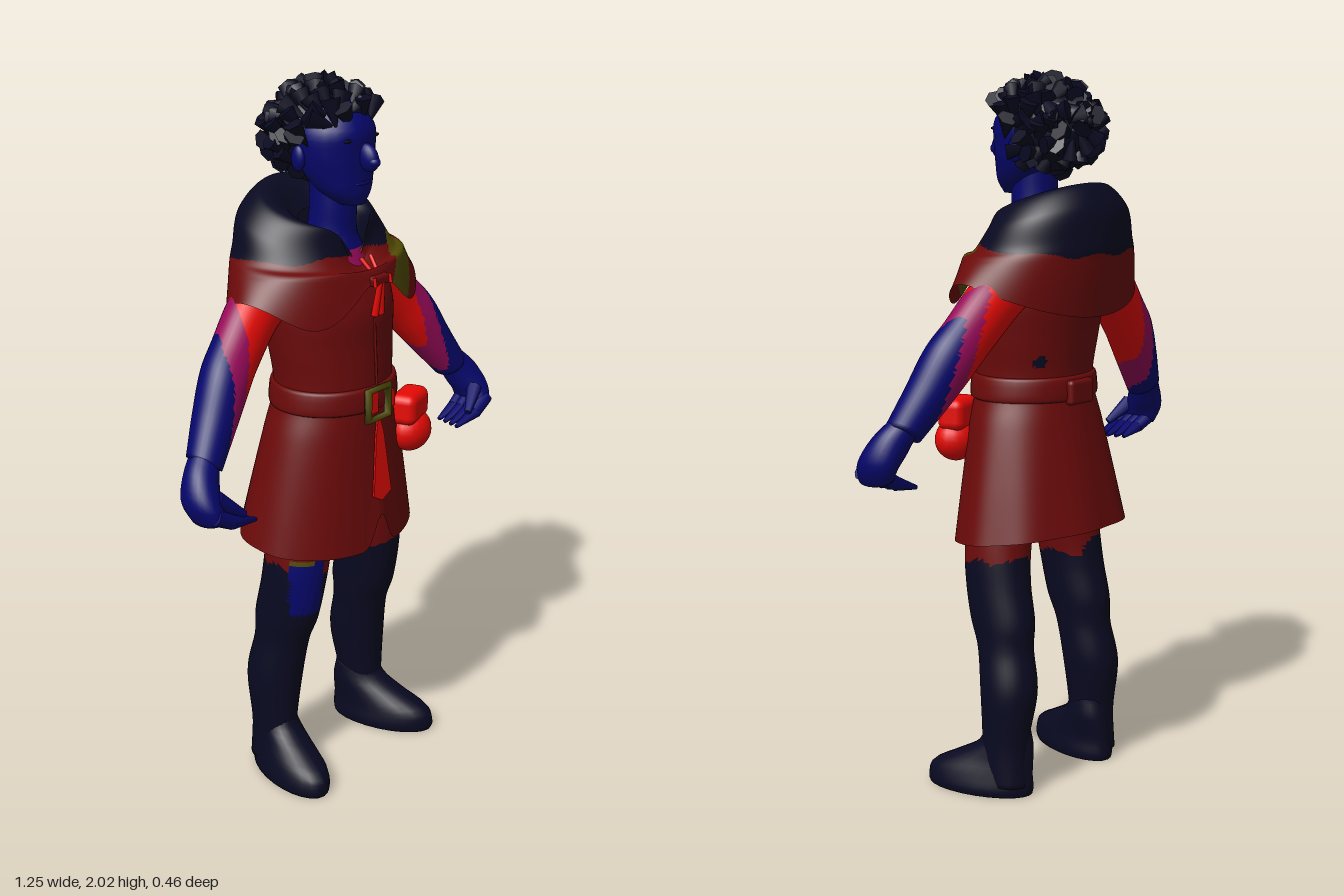
import * as THREE from 'three';
import { mergeGeometries } from 'three/addons/utils/BufferGeometryUtils.js';
import { RoundedBoxGeometry } from 'three/addons/geometries/RoundedBoxGeometry.js';

const mat = (name, color, side = THREE.FrontSide) => {
  const m = new THREE.MeshStandardMaterial({ color, side });
  m.name = name;
  return m;
};

// Lofts rings given as [x, y, z, rx, rz, tilt], listed from the top down.
// side -1 mirrors it; tweak moves points; paint picks a material index per face.
function loft(rings, { seg = 24, rows = 20, side = 1, cap = true, tweak, paint } = {}) {
  const full = rings.map(r => [...r, 0].slice(0, 6));
  const curve = new THREE.CubicInterpolant(full.map((_, i) => i), full.flat(), 6);
  const pts = [], faces = [];
  for (let j = 0; j <= rows; j++) {
    const t = j / rows;
    const [x, y, z, rx, rz, tilt] = Array.from(curve.evaluate(t * (full.length - 1)));
    for (let i = 0; i < seg; i++) {
      const a = i / seg * Math.PI * 2, u = rx * Math.sin(a);
      const p = new THREE.Vector3(x + u * Math.cos(tilt), y + u * Math.sin(tilt), z + rz * Math.cos(a));
      if (tweak) tweak(p, a > Math.PI ? a - 2 * Math.PI : a, t);
      p.x *= side;
      pts.push(p);
    }
  }
  const add = (a, b, c) => faces.push(side > 0 ? [a, b, c] : [a, c, b]);
  for (let j = 0; j < rows; j++) for (let i = 0; i < seg; i++) {
    const k = (i + 1) % seg, a = j * seg + i, b = j * seg + k;
    add(a, a + seg, b);
    add(b, a + seg, b + seg);
  }
  if (cap) for (const row of [0, rows]) {
    const c = new THREE.Vector3(), o = row * seg;
    for (let i = 0; i < seg; i++) c.addScaledVector(pts[o + i], 1 / seg);
    const n = pts.push(c) - 1;
    for (let i = 0; i < seg; i++) {
      const k = (i + 1) % seg;
      row ? add(o + k, o + i, n) : add(o + i, o + k, n);
    }
  }
  const buckets = [];
  for (const f of faces) {
    const c = new THREE.Vector3();
    f.forEach(i => c.addScaledVector(pts[i], 1 / 3));
    (buckets[paint ? paint(c) : 0] ??= []).push(...f);
  }
  const g = new THREE.BufferGeometry().setFromPoints(pts);
  g.setIndex(buckets.flat());
  let start = 0;
  if (paint) buckets.forEach((b, m) => { g.addGroup(start, b.length, m); start += b.length; });
  g.computeVertexNormals();
  return g;
}

// Tapered rod between two points
function rod(p, q, r1, r2) {
  const a = new THREE.Vector3(...p), b = new THREE.Vector3(...q), d = b.clone().sub(a);
  const g = new THREE.CylinderGeometry(r2, r1, d.length(), 8);
  g.applyQuaternion(new THREE.Quaternion().setFromUnitVectors(new THREE.Vector3(0, 1, 0), d.normalize()));
  return g.translate(...a.add(b).multiplyScalar(0.5).toArray());
}

const ball = (x, y, z, sx, sy, sz) => new THREE.SphereGeometry(1, 20, 14).scale(sx, sy, sz).translate(x, y, z);
const bump = (a, c, w) => Math.exp(-(((a - c) / w) ** 2));

export function createModel() {
  const model = new THREE.Group();
  const navy = mat('navy', 0x090921, THREE.DoubleSide), skin = mat('deep blue', 0x06066c);
  const tunic = mat('dark red', 0x6c0a0a, THREE.DoubleSide), red = mat('bright red', 0xee0a04);
  const magenta = mat('magenta', 0x980a5a), olive = mat('olive', 0x524b04, THREE.DoubleSide);
  const part = (name, geometry, material) => {
    const m = new THREE.Mesh(geometry, material);
    m.name = name;
    model.add(m);
    return m;
  };

  // Head
  part('face', loft([[0, 1.96, .02, .06, .07], [0, 1.89, .03, .11, .115], [0, 1.83, .04, .113, .106],
    [0, 1.77, .05, .1, .095], [0, 1.72, .075, .075, .07], [0, 1.685, .095, .035, .042]]), skin);
  part('neck', loft([[0, 1.78, .03, .065, .065], [0, 1.68, .035, .064, .065], [0, 1.6, .03, .068, .07],
    [0, 1.55, .03, .09, .088], [0, 1.49, .04, .1, .1]], { paint: c => c.y < 1.56 ? 1 : 0 }), [skin, magenta]);
  part('nose', ball(0, 0, 0, .021, .04, .032).rotateX(-.5).translate(0, 1.815, .155), skin);
  part('noseTip', ball(0, 1.805, .174, .017, .016, .02), skin);
  part('lips', ball(0, 1.745, .138, .03, .007, .01), skin);
  for (const s of [-1, 1]) {
    part('ear', ball(s * .112, 1.81, .01, .014, .035, .022), skin);
    part('eyebrow', ball(s * .045, 1.863, .133, .026, .006, .006), navy);
  }

  // Curly hair: a cap covered with unruly tufts down to the hairline
  const hair = [ball(0, 1.86, -.03, .122, .118, .115)];
  let seed = 7;
  const rand = () => (seed = (seed * 16807) % 2147483647) / 2147483647;
  for (let i = 0; i < 170; i++) {
    const h = 1 - 2 * (i + .5) / 170, a = i * 2.39996, r = Math.sqrt(1 - h * h);
    const d = new THREE.Vector3(r * Math.sin(a), h, r * Math.cos(a));
    if (h < (d.z > .35 ? .36 : d.z > -.1 ? -.15 : -.9)) continue;
    const tuft = new THREE.ConeGeometry(.03, .085, 6, 3).scale(1, 1, .75);
    tuft.rotateZ((rand() - .5) * 2.6 + Math.PI).rotateX(.3 + rand() * .45);
    tuft.applyQuaternion(new THREE.Quaternion().setFromUnitVectors(new THREE.Vector3(0, 0, 1), d));
    const out = .92 + rand() * .1;
    hair.push(tuft.translate(d.x * .138 * out, 1.868 + d.y * .112 * out, d.z * .142 * out));
  }
  part('hair', mergeGeometries(hair), navy);

  // Folded hood flowing into a shoulder cape, with an olive patch
  const tilt = [.06, .05, .05, .04, .02, .0, 0], drop = [.08, .08, .08, .06, .03, 0, 0];
  part('hoodAndCape', loft([[0, 1.58, .02, .085, .085], [0, 1.65, 0, .115, .12], [0, 1.67, -.03, .165, .145],
    [0, 1.62, -.05, .22, .172], [0, 1.55, -.035, .25, .195], [0, 1.52, -.02, .278, .205], [0, 1.44, 0, .325, .2]], {
    seg: 128, rows: 72, cap: false,
    tweak: (p, a, t) => {
      const k = Math.min(5, Math.floor(t * 6)), f = t * 6 - k, mix = v => v[k] + (v[k + 1] - v[k]) * f;
      p.y -= mix(tilt) * Math.cos(a) + mix(drop) * bump(a, 0, .35);
      const hem = Math.max(0, t * 6 - 5);
      p.y += hem * (.06 * bump(a, 0, .3) - .055 * bump(Math.abs(a), .65, .4) - .08 * Math.max(0, -Math.cos(a)) ** 2
        + .02 * bump(Math.abs(a), 1.5, .4));
    },
    paint: c => {
      const along = (c.x - .06) * .66 + (c.y - 1.39) * .75, across = (c.x - .06) * .75 - (c.y - 1.39) * .66;
      const patch = ((along - .095) / .125) ** 4 + ((across - .008) / .056) ** 4 < 1;
      if (c.z > .02 && c.x > .04 && patch) return 2;
      return c.y > 1.553 + .006 * Math.sin(c.x * 40) - (c.z < 0 ? .1 * -c.z : 0) ? 0 : 1;
    }
  }), [navy, tunic, olive]);
  part('clasp', new RoundedBoxGeometry(.07, .03, .03, 2, .01).translate(0, 1.49, .195), tunic);
  for (const s of [-1, 1]) {
    part('claspTie', rod([s * .005, 1.485, .205], [s * .012 + .005, 1.39, .19], .008, .011), red);
    part('claspCord', rod([s * .032, 1.478, .212], [s * .032, 1.503, .208], .005, .005), red);
    part('shirtLace', rod([s * .008, 1.5, .19], [s * .02, 1.545, .15], .006, .006), red);
  }

  // Tunic with flared skirt, raised at the front slit, with two worn spots
  const spots = [[-.19, .81, .026], [.12, 1.235, .016]];
  part('tunic', loft([[0, 1.54, -.01, .1, .1], [0, 1.49, 0, .185, .14], [0, 1.4, .015, .2, .165], [0, 1.3, .025, .192, .16],
    [0, 1.2, .035, .18, .155], [0, 1.14, .035, .184, .155], [0, 1.05, .03, .215, .165], [0, .9, .02, .252, .185],
    [0, .735, .01, .288, .208]], {
    seg: 120, rows: 72, cap: false,
    tweak: (p, a, t) => {
      const low = Math.max(0, (t - .65) / .35);
      p.y += low * low * (-.025 * Math.cos(a) + .1 * bump(a, 0, .12));
      const fold = 1 + .015 * low * Math.sin(a * 9) * Math.sin(a / 2) ** 2;
      p.x *= fold;
      p.z *= fold;
    },
    paint: c => c.z < 0 && spots.some(([x, y, r]) => Math.hypot(c.x - x, c.y - y) < r) ? 1 : 0
  }), [tunic, navy]);
  const slit = new THREE.Shape([[0, 0], [.018, -.06], [.042, -.24], [0, -.26], [-.034, -.24], [-.014, -.06]]
    .map(p => new THREE.Vector2(...p)).reverse());
  const panel = part('slitPanel', new THREE.ExtrudeGeometry(slit, { depth: .006, bevelEnabled: false }), red);
  panel.position.set(0, 1.11, .197);
  panel.rotation.x = -.06;
  part('frontSeam', rod([0, 1.38, .183], [0, 1.19, .194], .004, .004), tunic);
  part('pelvis', loft([[0, .95, .03, .16, .12], [0, .8, .03, .14, .11], [0, .72, .03, .07, .08]]), tunic);

  // Belt, buckle and pouches
  part('belt', loft([[0, 1.19, .037, .182, .158], [0, 1.18, .037, .19, .166], [0, 1.13, .037, .196, .168],
    [0, 1.12, .037, .188, .16]], { seg: 40, rows: 9 }), tunic);
  const buckle = part('buckle', new THREE.TorusGeometry(.06, .012, 6, 4).rotateZ(Math.PI / 4), olive);
  buckle.position.set(-.015, 1.145, .212);
  part('buckleTongue', new THREE.BoxGeometry(.045, .06, .012).translate(-.038, 1.15, .208), red);
  part('buckleStrap', new THREE.BoxGeometry(.025, .045, .012).translate(.048, 1.14, .204), red);
  part('backLoop', new RoundedBoxGeometry(.1, .07, .03, 2, .012).translate(0, 1.145, -.128), tunic);
  part('pouchFlap', new RoundedBoxGeometry(.13, .09, .08, 3, .025).rotateY(.3).translate(.175, 1.075, .17), red);
  part('pouchBag', ball(.18, 1.0, .172, .068, .062, .056), red);

  for (const side of [-1, 1]) {
    const name = side > 0 ? 'left' : 'right', q = Math.PI / 4;
    // Arm: sleeve, torn edge and forearm
    part(name + 'Arm', loft([[.17, 1.46, -.03, .08, .07, q], [.25, 1.41, -.03, .08, .07, q], [.34, 1.32, -.015, .077, .066, q],
      [.4, 1.255, 0, .076, .068, q], [.46, 1.17, .02, .063, .062, .65], [.525, 1.08, .045, .05, .052, .6]], {
      side, seg: 32, rows: 48, paint: c => {
        const s = Math.abs(c.x) + .25 * (c.y - 1.38) + .012 * Math.sin(c.z * 50 + c.y * 12);
        return s < .335 ? 0 : s < .392 ? 1 : 2;
      }
    }), [red, magenta, skin]);
    // Hand with curled fingers and thumb
    part(name + 'Hand', loft([[.52, 1.1, .045, .04, .042, .65], [.555, 1.05, .065, .05, .052, .6], [.578, 1.0, .085, .046, .062, .2],
      [.57, .96, .1, .034, .06, -.5]], { side, rows: 12 }), skin);
    for (let i = 0; i < 4; i++) {
      const z = .062 + i * .026, tip = .455 - i * .006;
      part(name + 'Finger', rod([side * .585, .975, z], [side * .525, .943, z + .006], .023, .02), skin);
      part(name + 'Fingertip', rod([side * .53, .945, z + .006], [side * tip, .922, z + .004], .02, .006), skin);
    }
    part(name + 'Thumb', rod([side * .555, 1.01, .12], [side * .485, .955, .15], .024, .01), skin);
    // Leg: trousers above, tall boot below, blue patch on the right
    part(name + 'Leg', loft([[.13, .85, .04, .09, .1], [.155, .7, .04, .085, .1], [.165, .6, .03, .08, .1], [.17, .5, .01, .077, .1],
      [.175, .42, -.005, .072, .085], [.185, .3, -.025, .076, .085], [.195, .15, -.02, .06, .07], [.2, .03, -.02, .055, .075]], {
      side, seg: 32, rows: 64, paint: c => {
        if (c.x < -.155 && c.x > -.235 && c.z > .03 && c.y > .53 && c.y < .7) return c.y > .688 && c.x < -.185 ? 3 : 2;
        const x = Math.abs(c.x);
        const top = .625 + .2 * x + .01 * Math.sin(c.z * 45) - 1.2 * c.z * (c.z < 0 && x > .12 ? .5 : 0);
        return c.y > top ? 0 : 1;
      }
    }), [tunic, navy, skin, olive]);
    part(name + 'Foot', loft([[.198, .19, -.02, .05, .06], [.2, .14, -.012, .06, .078], [.204, .1, .02, .065, .115], [.21, .06, .055, .074, .152],
      [.212, .02, .06, .082, .16], [.212, 0, .06, .078, .156]], { side, rows: 16, tweak: p => { p.x += (p.z - .06) * .2; } }), navy);
  }
  return model;
}
